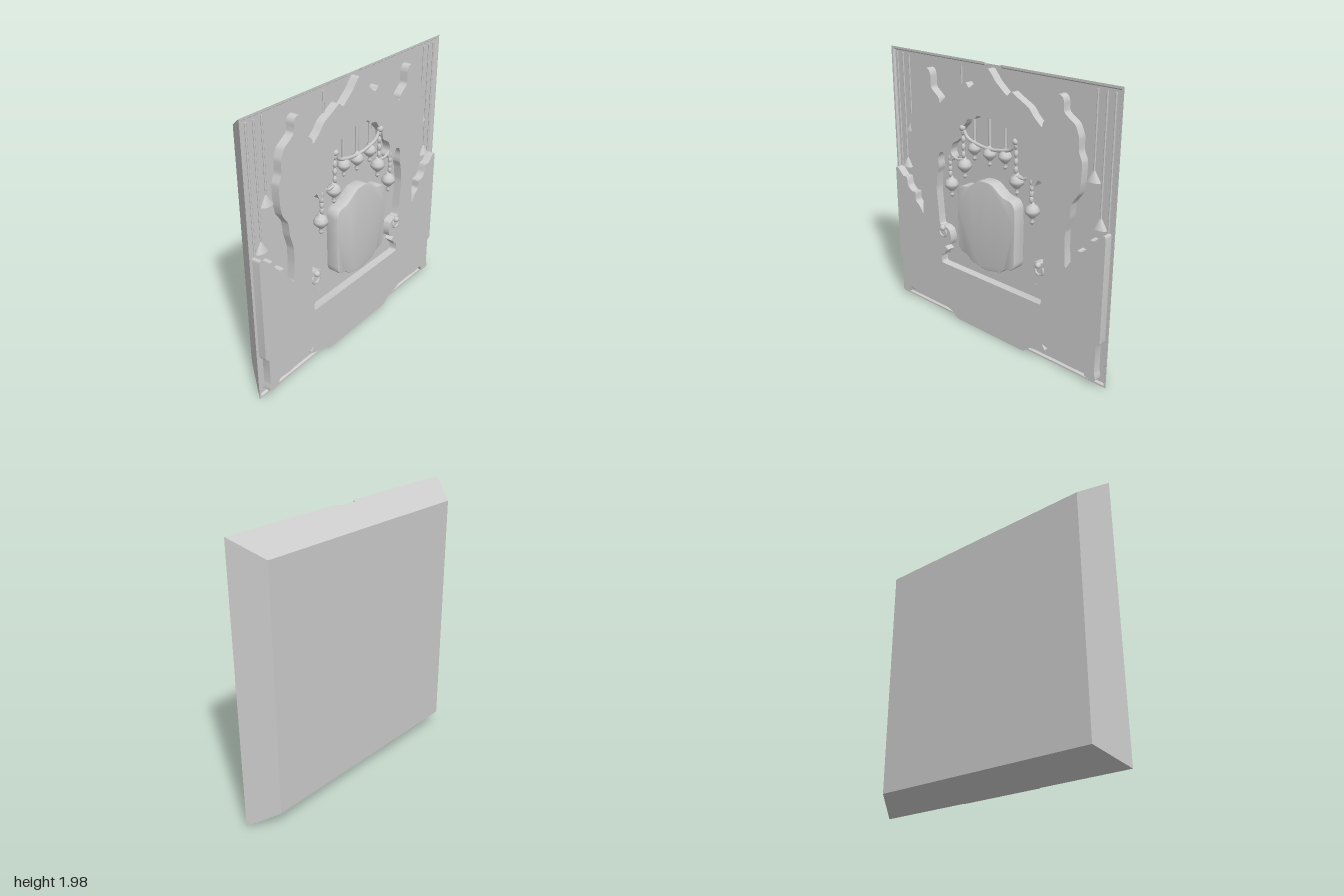
import * as THREE from 'three';
import { toCreasedNormals } from 'three/addons/utils/BufferGeometryUtils.js';

const FLOOR = 0.045, LIP = 0.06, FACE = 0.105, BACK = -0.135, MID = 0.99;
const material = new THREE.MeshStandardMaterial({ color: 0xcccccc });

// Right half of an outline, mirrored into a closed loop
const mirror = (half) => [
  ...half,
  ...half.filter(([x]) => x > 0).reverse().map(([x, y]) => [-x, y]),
];

// Closed outline with every corner rounded by up to r
function rounded(pts, r, target = new THREE.Shape()) {
  const v = pts.map(([x, y]) => new THREE.Vector2(x, y));
  const n = v.length;
  v.forEach((p, i) => {
    const a = v[(i + n - 1) % n], b = v[(i + 1) % n];
    const da = Math.min(0.5, r / p.distanceTo(a)), db = Math.min(0.5, r / p.distanceTo(b));
    const s = p.clone().lerp(a, da), e = p.clone().lerp(b, db);
    if (i === 0) target.moveTo(s.x, s.y); else target.lineTo(s.x, s.y);
    target.quadraticCurveTo(p.x, p.y, e.x, e.y);
  });
  target.closePath();
  return target;
}

function add(parent, name, geometry, x = 0, y = 0, z = 0) {
  const mesh = new THREE.Mesh(geometry, material);
  mesh.name = name;
  mesh.position.set(x, y, z);
  parent.add(mesh);
  return mesh;
}

function slab(shape, depth, bevel = 0) {
  const g = new THREE.ExtrudeGeometry(shape, {
    depth: depth - bevel, bevelEnabled: bevel > 0, bevelSize: bevel, bevelOffset: -bevel,
    bevelThickness: bevel, bevelSegments: 2, curveSegments: 4,
  });
  return toCreasedNormals(g, 0.6);
}

// Sides slope inward toward the back
function taper(g) {
  const p = g.attributes.position;
  for (let i = 0; i < p.count; i++) {
    const t = (LIP - p.getZ(i)) / (LIP - BACK);
    p.setX(i, p.getX(i) * (1 - 0.135 * t));
    p.setY(i, MID + (p.getY(i) - MID) * (1 - 0.126 * t));
  }
  g.computeVertexNormals();
  return g;
}

// Upper arch, side drapery, then the stepped lower corner
const panelOutline = [
  [0, 1.96], [0.03, 1.93], [0.07, 1.88], [0.17, 1.8], [0.2, 1.84], [0.27, 1.8], [0.35, 1.76],
  [0.39, 1.71], [0.46, 1.65], [0.46, 1.69], [0.54, 1.75], [0.54, 1.84], [0.56, 1.88], [0.6, 1.88],
  [0.62, 1.85], [0.62, 1.78], [0.66, 1.75], [0.71, 1.72], [0.74, 1.65], [0.74, 1.56], [0.77, 1.5],
  [0.765, 1.36], [0.75, 1.29], [0.7, 1.22], [0.69, 1.12], [0.66, 1.02], [0.66, 0.9], [0.67, 0.77],
  [0.71, 0.83], [0.755, 0.86], [0.75, 0.93], [0.79, 0.92], [0.835, 0.96], [0.845, 1.03],
  [0.88, 1.02], [0.94, 1.08], [0.965, 1.08], [0.965, 0.32], [0.935, 0.32], [0.935, 0.11],
  [0.95, 0.05], [0.86, 0.05], [0.85, 0.1], [0.74, 0.09], [0.58, 0.115], [0.49, 0.145],
  [0.53, 0.095], [0.47, 0.075], [0.39, 0.065], [0.33, 0.012],
];

// Throne-shaped opening under a lobed canopy
const openingOutline = [
  [0, 0.435], [0.48, 0.435], [0.48, 0.5], [0.45, 0.51], [0.44, 0.54], [0.4, 0.56], [0.45, 0.58],
  [0.385, 0.61], [0.375, 0.66], [0.39, 0.72], [0.43, 0.74], [0.46, 0.74], [0.49, 0.74],
  [0.5, 0.85], [0.515, 1.02], [0.5, 1.14], [0.48, 1.19], [0.49, 1.25], [0.47, 1.3], [0.43, 1.31],
  [0.41, 1.26], [0.37, 1.25], [0.33, 1.28], [0.36, 1.33], [0.34, 1.39], [0.27, 1.43], [0.26, 1.5],
  [0.21, 1.55], [0.19, 1.59], [0.12, 1.6], [0.1, 1.63], [0, 1.63],
];

const plaqueOutline = [
  [0, 1.2], [0.06, 1.195], [0.12, 1.15], [0.17, 1.12], [0.23, 1.12], [0.265, 1.08], [0.27, 0.95],
  [0.265, 0.65], [0.24, 0.615], [0.18, 0.61], [0.14, 0.565], [0.07, 0.555], [0, 0.54],
];

// Turned ornament: neck, bulb and a small drop below, origin at the bulb
function bulb(s) {
  const profile = [[0, -0.095], [0.014, -0.08], [0.016, -0.07], [0.006, -0.055], [0.02, -0.042],
    [0.045, -0.015], [0.048, 0.005], [0.035, 0.03], [0.014, 0.045], [0.01, 0.06], [0, 0.06]];
  return new THREE.LatheGeometry(profile.map(([x, y]) => new THREE.Vector2(x * s, y * s)), 16);
}

function cord(parent, name, x, y0, y1, r, z) {
  add(parent, name, new THREE.CylinderGeometry(r, r, y1 - y0, 8), x, (y0 + y1) / 2, z);
}

function swag(parent, name, points, r) {
  const curve = new THREE.CatmullRomCurve3(points.map(([x, y]) => new THREE.Vector3(x, y, 0.095)));
  add(parent, name, new THREE.TubeGeometry(curve, 24, r, 8));
}

export function createModel() {
  const model = new THREE.Group();
  model.name = 'carvedPanel';

  // Tapered backing block
  const block = new THREE.BoxGeometry(2, 1.98, FLOOR - BACK);
  block.translate(0, MID, (FLOOR + BACK) / 2);
  add(model, 'backing', taper(block));

  // Thin rim, open at the arch tip
  const rim = new THREE.Shape([
    [0.07, 1.98], [0.07, 1.965], [0.985, 1.965], [0.985, 0.012], [-0.985, 0.012], [-0.985, 1.965],
    [-0.07, 1.965], [-0.07, 1.98], [-1, 1.98], [-1, 0], [1, 0], [1, 1.98],
  ].map(([x, y]) => new THREE.Vector2(x, y)));
  const rimGeometry = new THREE.ExtrudeGeometry(rim, { depth: LIP - FLOOR, bevelEnabled: false });
  rimGeometry.translate(0, 0, FLOOR);
  add(model, 'rim', taper(rimGeometry));

  // Raised panel with the throne opening
  const panel = rounded(mirror(panelOutline), 0.02);
  panel.holes.push(rounded(mirror(openingOutline), 0.02, new THREE.Path()));
  add(model, 'raisedPanel', slab(panel, FACE - FLOOR), 0, 0, FLOOR);

  // Central plaque
  add(model, 'plaque', slab(rounded(mirror(plaqueOutline), 0.03), 0.135 - FLOOR, 0.006), 0, 0, FLOOR);

  // Canopy bars, garland and centre ornament
  cord(model, 'canopyBar', 0, 1.42, 1.63, 0.011, 0.085);
  add(model, 'ornament', bulb(0.95), 0, 1.385, 0.088);
  swag(model, 'garland', [[-0.24, 1.52], [-0.2, 1.46], [-0.1, 1.43], [0, 1.42], [0.1, 1.43],
    [0.2, 1.46], [0.24, 1.52]], 0.012);

  for (const s of [-1, 1]) {
    const side = new THREE.Group();
    side.name = s > 0 ? 'leftOrnaments' : 'rightOrnaments';
    model.add(side);

    cord(side, 'canopyBar', s * 0.14, 1.42, 1.6, 0.011, 0.085);
    add(side, 'ornament', bulb(0.95), s * 0.14, 1.395, 0.088);
    swag(side, 'sideGarland', [[s * 0.36, 1.31], [s * 0.31, 1.285], [s * 0.25, 1.29]], 0.01);

    // Beaded strings ending in larger bulbs
    for (const [x, y, top] of [[0.24, 1.25, 1.52], [0.375, 1.08, 1.3]]) {
      add(side, 'ornament', bulb(1.05), s * x, y, 0.085);
      cord(side, 'string', s * x, y + 0.04, top, 0.009, 0.09);
      for (let k = 0; k < 4; k++) {
        const bead = add(side, 'bead', new THREE.SphereGeometry(0.015, 10, 8),
          s * x, y + 0.08 + (k * (top - y - 0.08)) / 3.5, 0.095);
        bead.scale.y = 1.7;
      }
    }
    add(side, 'knob', new THREE.SphereGeometry(0.022, 12, 8), s * 0.24, 1.52, 0.1);

    // Scroll on the throne arm
    const scroll = new THREE.Group();
    scroll.name = 'armScroll';
    side.add(scroll);
    add(scroll, 'eye', new THREE.SphereGeometry(0.022, 12, 8), s * 0.455, 0.725, 0.112);
    const curl = add(scroll, 'curl', new THREE.TorusGeometry(0.034, 0.009, 8, 24, 4.6), s * 0.46, 0.69, FACE);
    curl.rotation.z = s > 0 ? 2.4 : -3.9;

    // Hanging cords with pointed tassels
    cord(side, 'outerCord', s * 0.945, 1.09, 1.94, 0.006, 0.05);
    for (const [x, y] of [[0.82, 1.38], [0.885, 1.09]]) {
      cord(side, 'tasselCord', s * x, y + 0.06, 1.94, 0.006, 0.05);
      const tassel = add(side, 'tassel', new THREE.ConeGeometry(0.05, 0.08, 16), s * x, y + 0.04, 0.05);
      tassel.scale.z = 0.6;
    }
  }
  cord(model, 'shortCord', -0.29, 1.79, 1.93, 0.006, 0.05);
  return model;
}
